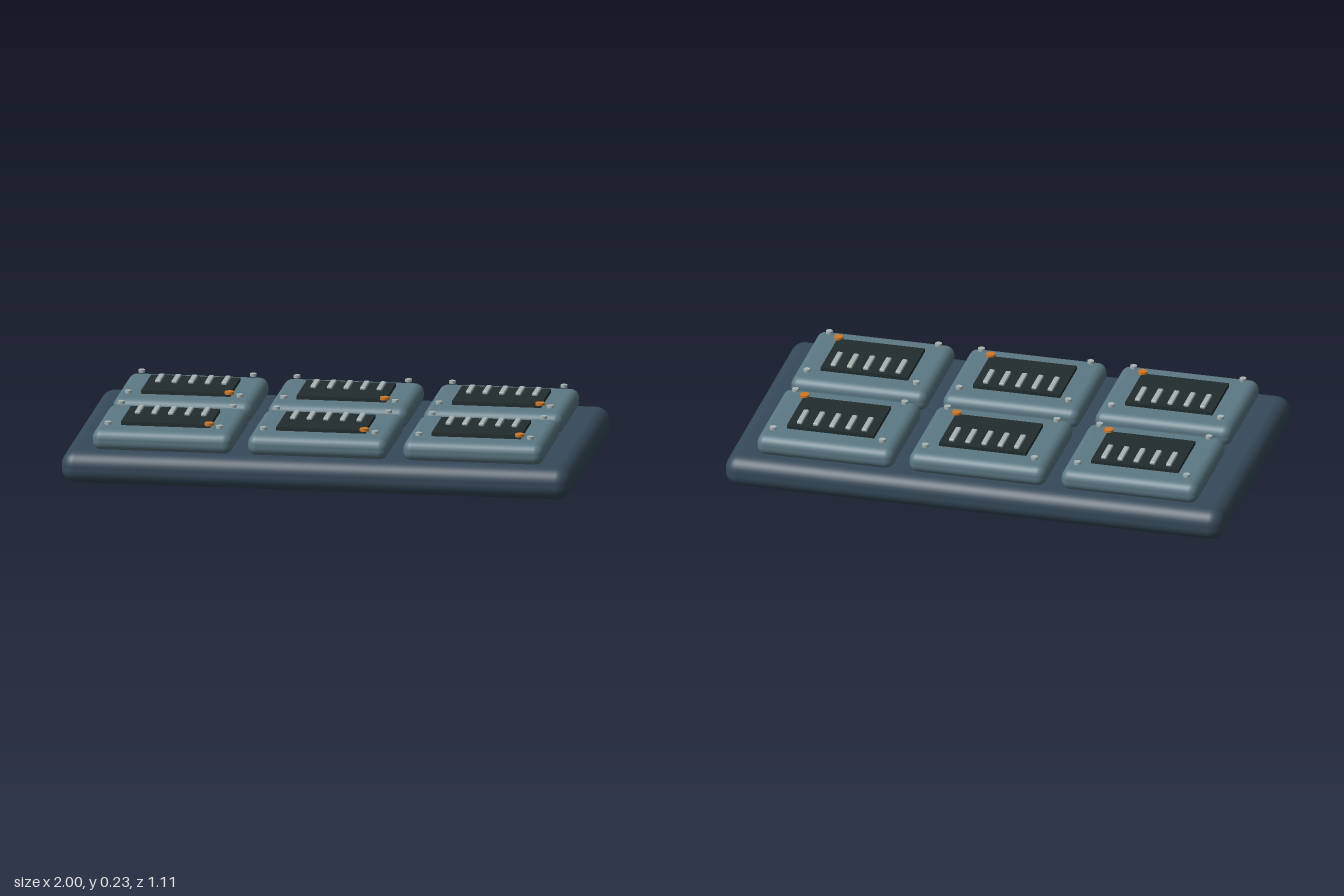
import * as THREE from 'three';
import { RoundedBoxGeometry } from 'three/addons/geometries/RoundedBoxGeometry.js';

const material = (name, color) => {
  const m = new THREE.MeshStandardMaterial({ color });
  m.name = name;
  return m;
};

export function createModel() {
  const slate = material('dark slate', 0x364a5a);
  const blueGrey = material('blue grey', 0x5c7985);
  const charcoal = material('charcoal', 0x222d2e);
  const silver = material('silver', 0xa8b3b4);
  const orange = material('orange', 0xcf7a2b);

  const add = (parent, name, geometry, mat, x, y, z) => {
    const mesh = new THREE.Mesh(geometry, mat);
    mesh.name = name;
    mesh.position.set(x, y, z);
    parent.add(mesh);
  };

  // Shared geometries
  const tile = new RoundedBoxGeometry(0.55, 0.084, 0.464, 3, 0.036);
  const panel = new THREE.BoxGeometry(0.35, 0.016, 0.263);
  const fin = new RoundedBoxGeometry(0.022, 0.013, 0.114, 2, 0.005);
  const screw = new THREE.CylinderGeometry(0.0135, 0.0135, 0.011, 10);
  const lamp = new THREE.CylinderGeometry(0.0185, 0.0185, 0.011, 10);

  const model = new THREE.Group();
  model.name = 'panelBoard';

  // Base slab
  add(model, 'base', new RoundedBoxGeometry(2, 0.128, 1.114, 4, 0.056), slate, 0, 0.064, 0);

  // Two rows of three modules
  for (const z of [-0.262, 0.262]) {
    for (const x of [-0.61, 0, 0.61]) {
      const unit = new THREE.Group();
      unit.name = 'module';
      unit.position.set(x, 0, z);
      add(unit, 'housing', tile, blueGrey, 0, 0.165, 0);
      add(unit, 'recessPanel', panel, charcoal, 0, 0.213, 0);

      // Row of fins towards the back of the panel
      for (let i = -2; i <= 2; i++) add(unit, 'fin', fin, silver, i * 0.065, 0.2265, -0.056);

      // Corner screws
      for (const sx of [-1, 1])
        for (const sz of [-1, 1]) add(unit, 'screw', screw, silver, sx * 0.219, 0.2245, sz * 0.173);

      // Indicator at the front left corner of the panel
      add(unit, 'indicator', lamp, orange, 0.172, 0.2245, 0.134);
      model.add(unit);
    }
  }
  return model;
}
